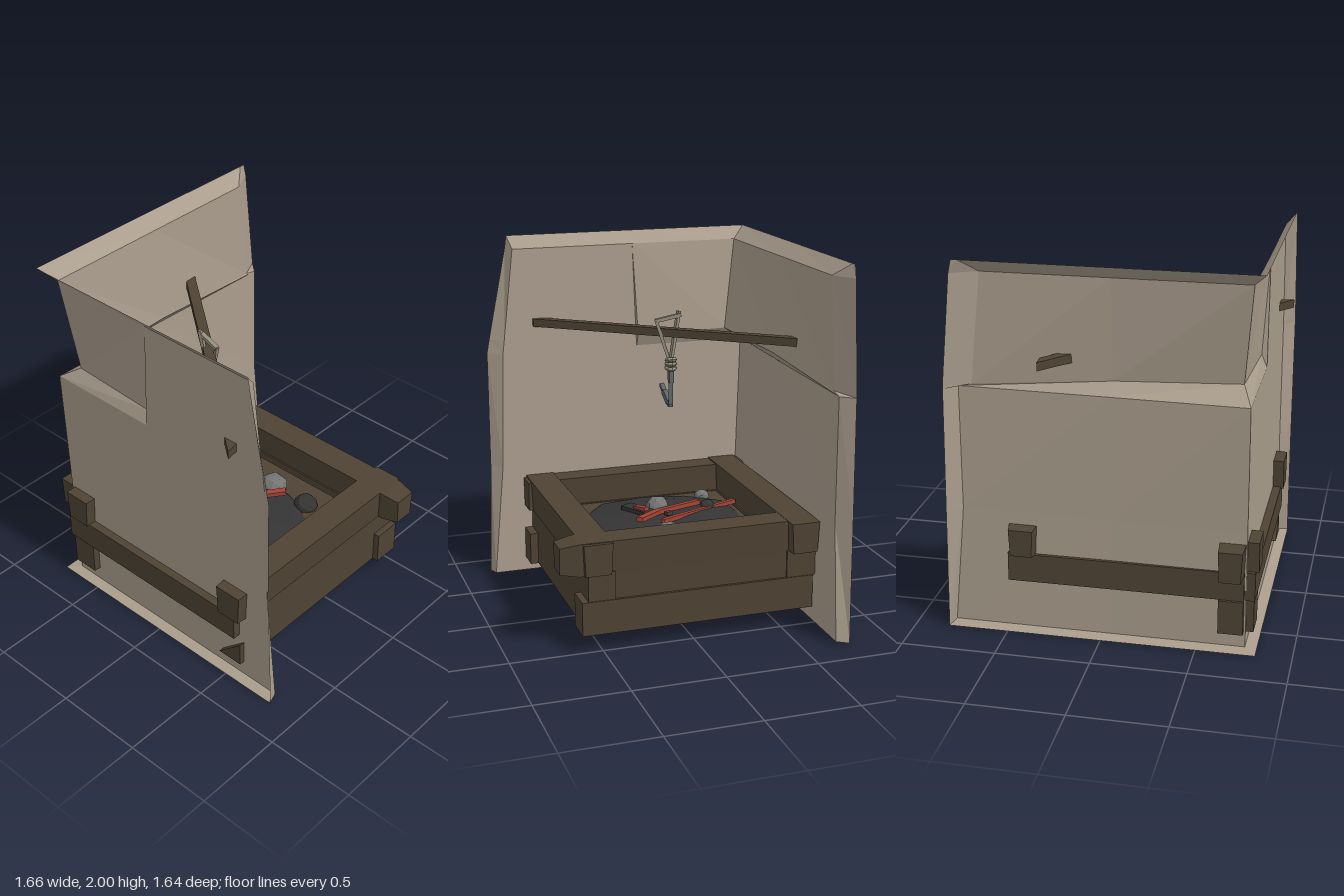
import * as THREE from 'three';

const mat = (name, color) => {
  const m = new THREE.MeshStandardMaterial({ color, flatShading: true });
  m.name = name;
  return m;
};

export function createModel() {
  const root = new THREE.Group();
  const plaster = mat('plaster', 0xaa9d8d);
  plaster.side = THREE.DoubleSide;
  const wood = mat('wood', 0x4e4333);
  wood.side = THREE.DoubleSide;
  const coal = mat('coal', 0x343434);
  const stone = mat('ash stone', 0x747474);
  const ember = mat('ember', 0xa54436);
  const iron = mat('iron', 0x606365);
  const rope = mat('rope', 0x968c7b);

  let seed = 7;
  const rand = () => (seed = (seed * 16807) % 2147483647) / 2147483647;

  const add = (name, geo, material, parent = root) => {
    const m = new THREE.Mesh(geo, material);
    m.name = name;
    parent.add(m);
    return m;
  };

  // Corner wall: one folded sheet, front wall then side wall, flared at every rim
  // [y, front end, front inner, corner x, corner z, side inner, side end, flared]
  const rows = [
    [0, 0.82, 0.80, -0.76, 0.81, -0.80, -0.82, 1],
    [0.01, 0.82, 0.80, -0.69, 0.75, -0.80, -0.82, 0],
    [0.66, 0.80, 0.74, -0.71, 0.75, -0.74, -0.81, 0],
    [1.33, 0.80, 0.72, -0.73, 0.75, -0.74, -0.80, 0],
    [1.41, 0.785, 0.71, -0.61, 0.70, -0.67, -0.80, 0],
    [1.93, 0.68, 0.65, -0.68, 0.745, -0.61, -0.745, 0],
    [2.0, 0.67, 0.66, -0.76, 0.81, -0.70, -0.73, 1],
  ];
  const pos = [], idx = [], cols = 8;
  rows.forEach(([y, fe, fi, cx, cz, si, se, flared], r) => {
    const z = flared ? 0.81 : 0.75, x = flared ? -0.76 : -0.69;
    const ledge = r === 4, mx = r > 4 ? -0.06 : -0.08;
    const sideY = ledge ? 1.345 : y;
    pos.push(fe, y, 0.81, fi, y, z, mx + 0.005, y, z,
      mx, ledge ? 1.40 : y, ledge ? 0.72 : z, cx, y, cz,
      ledge ? -0.65 : (cx + x) / 2, ledge ? 1.395 : y, 0.05,
      x, sideY, si, -0.76, sideY, se);
  });
  for (let r = 0; r < rows.length - 1; r++) {
    for (let c = 0; c < cols - 1; c++) {
      const a = r * cols + c, b = a + 1, d = a + cols, e = d + 1;
      idx.push(a, d, b, b, d, e);
    }
  }
  const sheet = new THREE.BufferGeometry();
  sheet.setAttribute('position', new THREE.Float32BufferAttribute(pos, 3));
  sheet.setIndex(idx);
  const wallGeo = sheet.toNonIndexed();
  wallGeo.computeVertexNormals();
  add('cornerWall', wallGeo, plaster);

  // Plain box between bounds
  const box = (name, xs, ys, zs, parent) => {
    const size = [xs, ys, zs].map(([a, b]) => b - a);
    const m = add(name, new THREE.BoxGeometry(...size), wood, parent);
    m.position.set((xs[0] + xs[1]) / 2, (ys[0] + ys[1]) / 2, (zs[0] + zs[1]) / 2);
    return m;
  };

  // Beam left open underneath
  const openBeam = (name, xs, ys, zs, parent) => {
    const { geometry } = box(name, xs, ys, zs, parent);
    const faces = Array.from(geometry.index.array);
    faces.splice(18, 6);
    geometry.setIndex(faces);
    geometry.clearGroups();
  };

  // Hewn beam: ends chopped narrower, underside narrower than the top
  const beam = (name, xs, ys, zs, taper, parent) => {
    const m = box(name, xs, ys, zs, parent);
    const { width, height, depth } = m.geometry.parameters;
    const size = [width, height, depth];
    const axis = width > depth ? 0 : 2, segs = [1, 1, 1];
    segs[axis] = 3;
    m.geometry = new THREE.BoxGeometry(...size, ...segs);
    const p = m.geometry.attributes.position, half = size[axis] / 2;
    for (let i = 0; i < p.count; i++) {
      const v = [p.getX(i), p.getY(i), p.getZ(i)];
      if (v[1] < 0) v[2 - axis] *= 0.88;
      if (Math.abs(v[axis]) > half - 1e-4) {
        v[1] *= taper;
        v[2 - axis] *= taper;
      } else v[axis] = Math.sign(v[axis]) * (half - 0.1);
      p.setXYZ(i, ...v);
    }
  };

  // Hearth frame: three tiers of stacked beams
  const frame = new THREE.Group();
  frame.name = 'hearthFrame';
  root.add(frame);
  const mid = [0.28, 0.435], low = [0.095, 0.28];
  beam('topRightBeam', [0.44, 0.605], [0.42, 0.60], [-0.52, 0.81], 0.95, frame);
  beam('topLeftBeam', [-0.69, -0.53], [0.43, 0.602], [-0.56, 0.81], 0.97, frame);
  beam('topBackBeam', [-0.755, 0.72], [0.42, 0.60], [-0.50, -0.34], 0.8, frame);
  beam('topFrontBeam', [-0.81, 0.62], [0.415, 0.595], [0.61, 0.745], 0.92, frame);
  openBeam('midRightBeam', [0.43, 0.575], mid, [-0.50, 0.74], frame);
  openBeam('midLeftBeam', [-0.715, -0.53], mid, [-0.50, 0.74], frame);
  openBeam('midBackBeam', [-0.69, 0.56], mid, [-0.49, -0.34], frame);
  openBeam('midFrontBeam', [-0.70, 0.55], mid, [0.61, 0.795], frame);
  openBeam('lowRightBeam', [0.43, 0.575], low, [-0.50, 0.74], frame);
  openBeam('lowLeftBeam', [-0.68, -0.53], low, [-0.50, 0.79], frame);
  openBeam('lowBackBeam', [-0.68, 0.61], low, [-0.505, -0.35], frame);
  openBeam('lowFrontBeam', [-0.73, 0.62], low, [0.61, 0.74], frame);
  // Splintered tip showing through the wall
  const tip = new THREE.Shape([[0.43, 0.10], [0.58, 0.10], [0.58, 0.24]]
    .map(([x, y]) => new THREE.Vector2(x, y)));
  const tipGeo = new THREE.ExtrudeGeometry(tip, { depth: 0.05, bevelEnabled: false });
  add('lowRightTip', tipGeo, wood, frame).position.z = 0.73;

  // Hearth floor
  box('hearthFloor', [-0.54, 0.445], [0.42, 0.43], [-0.305, 0.615], frame);

  // Fire bed: everything resting on the floor
  const fire = new THREE.Group();
  fire.name = 'fireBed';
  root.add(fire);

  // Faceted lump of coal or stone, optionally with a flat base
  const lump = (name, x, y, z, sx, sy, sz, material, rough, flat) => {
    const geo = new THREE.IcosahedronGeometry(1, 1), p = geo.attributes.position;
    const seen = new Map();
    for (let i = 0; i < p.count; i++) {
      const v = new THREE.Vector3().fromBufferAttribute(p, i);
      const key = v.toArray().map(n => Math.round(n * 100)).join();
      if (!seen.has(key)) seen.set(key, 1 - rand() * rough);
      v.multiplyScalar(seen.get(key));
      if (flat) v.y = Math.max(v.y, 0);
      p.setXYZ(i, v.x, v.y, v.z);
    }
    geo.scale(sx, sy, sz);
    geo.computeVertexNormals();
    add(name, geo, material, fire).position.set(x, y, z);
  };
  lump('coalMound', -0.045, 0.425, 0.19, 0.51, 0.085, 0.41, coal, 0.1, true);
  [[0.01, 0.46, -0.13, 0.085, stone], [-0.03, 0.51, 0.21, 0.07, stone],
    [-0.38, 0.46, 0.45, 0.048, stone], [-0.37, 0.44, -0.10, 0.075, coal],
    [0.24, 0.44, -0.14, 0.07, coal], [-0.32, 0.49, 0.19, 0.045, coal]]
    .forEach(([x, y, z, r, m]) => lump(m === stone ? 'ashStone' : 'coalLump', x, y, z, r, r * 0.9, r, m, 0.12));

  // Straight bar between two points
  const bar = (name, a, b, w, h, material, parent) => {
    const A = new THREE.Vector3(...a), B = new THREE.Vector3(...b);
    const m = add(name, new THREE.BoxGeometry(w, h, A.distanceTo(B)), material, parent);
    m.position.copy(A).add(B).multiplyScalar(0.5);
    m.quaternion.setFromRotationMatrix(new THREE.Matrix4().lookAt(B, A, new THREE.Vector3(0, 1, 0)));
    return m;
  };

  // Glowing sticks and charred wood on the mound
  bar('emberStick', [-0.52, 0.47, 0.28], [0.02, 0.51, -0.04], 0.026, 0.024, ember, fire);
  bar('emberStick', [0.16, 0.54, -0.06], [0, 0.515, 0.11], 0.038, 0.025, ember, fire);
  bar('emberStick', [0, 0.515, 0.11], [-0.28, 0.51, 0.22], 0.028, 0.025, ember, fire);
  bar('emberChip', [0.06, 0.53, 0.13], [0.10, 0.52, 0.21], 0.035, 0.02, ember, fire);
  bar('charredStick', [0.04, 0.505, 0.10], [0.13, 0.50, 0.29], 0.08, 0.03, coal, fire);
  bar('woodChip', [-0.065, 0.515, 0.075], [-0.03, 0.515, 0.06], 0.03, 0.02, wood, fire);

  // Diagonal pole through both walls, with slanted ends
  const pole = bar('hangingPole', [-0.82, 1.505, -0.31], [0.57, 1.505, 0.80], 0.055, 0.045, wood);
  const pp = pole.geometry.attributes.position;
  for (let i = 0; i < pp.count; i++) {
    if (pp.getX(i) > 0) pp.setZ(i, pp.getZ(i) - Math.sign(pp.getZ(i)) * 0.06);
  }

  // Rope over the pole, knot and iron hook
  bar('ropeStrap', [-0.18, 1.60, 0.245], [-0.04, 1.57, 0.265], 0.025, 0.02, rope);
  bar('ropeStrand', [-0.17, 1.62, 0.255], [-0.12, 1.35, 0.24], 0.022, 0.018, rope);
  bar('ropeStrand', [-0.04, 1.58, 0.265], [-0.11, 1.35, 0.245], 0.018, 0.018, rope);
  for (let i = 0; i < 3; i++) {
    const loop = add('knotLoop', new THREE.TorusGeometry(0.024, 0.013, 5, 8), rope);
    loop.position.set(-0.12, 1.305 + i * 0.022, 0.243);
    loop.rotation.x = Math.PI / 2 + (i - 1) * 0.25;
  }
  const hook = [[-0.12, 1.36, 0.25], [-0.12, 1.22, 0.24], [-0.115, 1.10, 0.225],
    [-0.115, 1.10, 0.26], [-0.11, 1.15, 0.33], [-0.11, 1.18, 0.375]];
  for (let i = 0; i < hook.length - 1; i++) {
    bar('hookSegment', hook[i], hook[i + 1], 0.025, i > 3 ? 0.02 : 0.035, iron);
  }

  return root;
}
